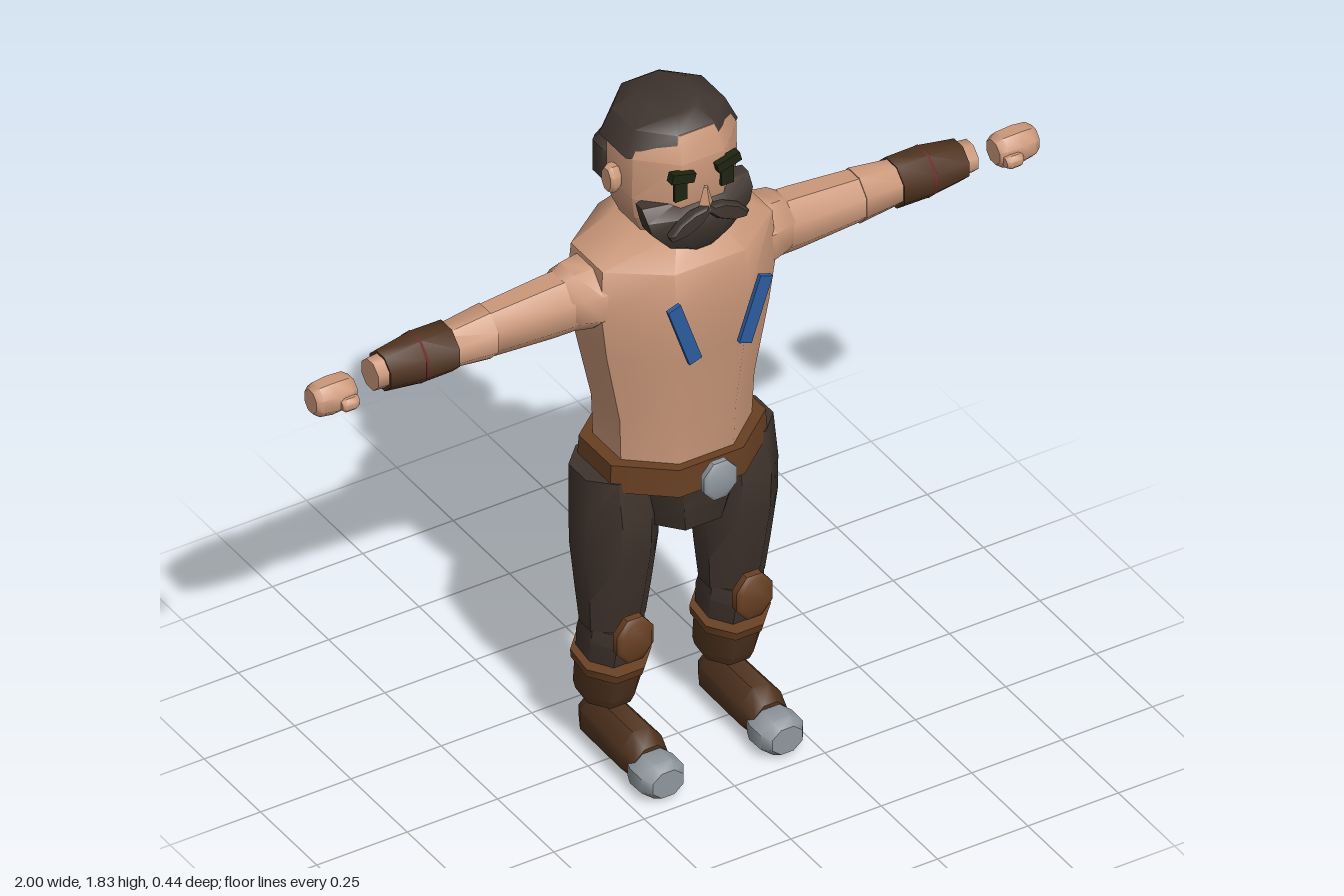
import * as THREE from 'three';
import { toCreasedNormals } from 'three/addons/utils/BufferGeometryUtils.js';

const mat = (name, color) => {
  const m = new THREE.MeshStandardMaterial({ color });
  m.name = name;
  return m;
};

// Octagonal loft along an axis. Rings: [t, centreA, centreB, halfA, halfB];
// (a, b) is (y, z) for axis x, (z, x) for axis y and (x, y) for axis z.
function loft(axis, rings) {
  if (rings[0][0] > rings[rings.length - 1][0]) rings = [...rings].reverse();
  const k = 0.414;
  const oct = [[1, -k], [1, k], [k, 1], [-k, 1], [-1, k], [-1, -k], [-k, -1], [k, -1]];
  const place = (t, a, b) =>
    axis === 'x' ? [t, a, b] : axis === 'y' ? [b, t, a] : [a, b, t];
  const pts = rings.map(([t, ca, cb, ha, hb]) =>
    oct.map(([u, v]) => place(t, ca + u * ha, cb + v * hb)));
  const out = [];
  const tri = (...p) => p.forEach((q) => out.push(...q));
  for (let i = 0; i < rings.length - 1; i++) {
    for (let j = 0; j < 8; j++) {
      const n = (j + 1) % 8;
      tri(pts[i][j], pts[i][n], pts[i + 1][n]);
      tri(pts[i][j], pts[i + 1][n], pts[i + 1][j]);
    }
  }
  const first = pts[0], last = pts[pts.length - 1];
  for (let j = 1; j < 7; j++) {
    tri(first[0], first[j + 1], first[j]);
    tri(last[0], last[j], last[j + 1]);
  }
  const g = new THREE.BufferGeometry();
  g.setAttribute('position', new THREE.Float32BufferAttribute(out, 3));
  return toCreasedNormals(g, 0.8);
}

// Octagonal pad centred on the origin, with bevelled ends along z
function pad(hx, hy, hz, inset = 0.8) {
  return loft('z', [
    [-hz, 0, 0, hx * inset, hy * inset], [-hz * 0.5, 0, 0, hx, hy],
    [hz * 0.5, 0, 0, hx, hy], [hz, 0, 0, hx * inset, hy * inset],
  ]);
}

export function createModel() {
  const skin = mat('skin', 0xcb987a);
  const hair = mat('hair', 0x40352f);
  const cloth = mat('trousers', 0x3f332c);
  const belt = mat('belt leather', 0x673f22);
  const leather = mat('dark leather', 0x50331f);
  const metal = mat('metal', 0x8f979d);
  const blue = mat('blue paint', 0x2c5c9f);
  const red = mat('red cord', 0x6c2628);
  const dark = mat('eye dark', 0x1f2410);

  const root = new THREE.Group();
  root.name = 'figure';
  const add = (name, geo, material, x = 0, y = 0, z = 0, rx = 0, rz = 0) => {
    const m = new THREE.Mesh(geo, material);
    m.name = name;
    m.position.set(x, y, z);
    m.rotation.set(rx, 0, rz);
    root.add(m);
    return m;
  };

  // Trunk
  add('torso', loft('y', [
    [0.85, -0.027, 0, 0.15, 0.18], [1.0, -0.025, 0, 0.155, 0.186],
    [1.2, -0.03, 0, 0.176, 0.225], [1.33, -0.03, 0, 0.185, 0.242],
    [1.45, -0.03, 0, 0.17, 0.235], [1.515, -0.035, 0, 0.115, 0.13],
  ]), skin);
  add('belt', loft('y', [
    [0.81, -0.027, 0, 0.178, 0.218], [0.885, -0.027, 0, 0.174, 0.214],
  ]), belt);
  add('buckle', pad(0.045, 0.052, 0.015), metal, 0, 0.848, 0.18);
  add('pelvis', loft('y', [
    [0.675, -0.028, 0, 0.14, 0.12], [0.74, -0.026, 0, 0.15, 0.145],
    [0.83, -0.025, 0, 0.155, 0.17],
  ]), cloth);

  // Head, hair and beard
  add('head', loft('y', [
    [1.48, -0.03, 0, 0.1, 0.1], [1.56, -0.03, 0, 0.125, 0.135],
    [1.62, -0.03, 0, 0.138, 0.145], [1.735, -0.03, 0, 0.14, 0.144],
    [1.8, -0.03, 0, 0.113, 0.11],
  ]), skin);
  add('hairCap', loft('y', [
    [1.735, -0.045, 0, 0.145, 0.155], [1.8, -0.045, 0, 0.125, 0.125],
    [1.83, -0.048, 0, 0.085, 0.065],
  ]), hair);
  add('backHair', pad(0.14, 0.105, 0.046, 0.85), hair, 0, 1.635, -0.134);
  add('beard', loft('y', [
    [1.475, 0.085, 0, 0.025, 0.04], [1.5, 0.082, 0, 0.043, 0.085],
    [1.555, 0.08, 0, 0.053, 0.135], [1.59, 0.078, 0, 0.05, 0.145],
    [1.62, 0.06, 0, 0.034, 0.147],
  ]), hair);
  const nose = new THREE.CylinderGeometry(0.006, 0.022, 0.06, 4);
  add('nose', toCreasedNormals(nose, 0.5), skin, 0, 1.63, 0.122);

  for (const s of [1, -1]) {
    const side = s > 0 ? 'left' : 'right';
    const part = (name, geo, material, x = 0, y = 0, z = 0, rx = 0, rz = 0) =>
      add(side + name, geo, material, s * x, y, z, rx, s * rz);
    const along = (rings) => loft('x', rings.map(([t, ...r]) => [s * t, ...r]));

    // Face
    part('Eye', new THREE.BoxGeometry(0.034, 0.055, 0.009), dark, 0.064, 1.667, 0.112);
    part('Brow', new THREE.BoxGeometry(0.065, 0.025, 0.022), dark, 0.063, 1.708, 0.116, 0, 0.25);
    part('Moustache', pad(0.06, 0.021, 0.014), hair, 0.052, 1.58, 0.132, 0, -0.45);
    part('Ear', loft('x', [
      [-0.016, 0, 0, 0.03, 0.02], [-0.006, 0, 0, 0.037, 0.026],
      [0.006, 0, 0, 0.037, 0.026], [0.016, 0, 0, 0.03, 0.018],
    ]), skin, 0.159, 1.648, -0.04);

    // Chest mark
    part('ChestMark', new THREE.BoxGeometry(0.036, 0.182, 0.012), blue, 0.098, 1.307, 0.183, 0, -0.33);

    // Arm
    part('Shoulder', along([
      [0.16, 1.35, -0.035, 0.085, 0.09], [0.24, 1.352, -0.035, 0.086, 0.088],
      [0.285, 1.352, -0.037, 0.08, 0.076], [0.312, 1.352, -0.038, 0.064, 0.06],
    ]), skin);
    part('UpperArm', along([
      [0.2, 1.345, -0.037, 0.078, 0.068], [0.34, 1.342, -0.038, 0.074, 0.066],
      [0.51, 1.338, -0.04, 0.063, 0.057],
    ]), skin);
    part('Forearm', along([
      [0.51, 1.338, -0.04, 0.066, 0.06], [0.65, 1.336, -0.04, 0.05, 0.05],
      [0.83, 1.335, -0.037, 0.038, 0.038],
    ]), skin);
    part('Bracer', along([
      [0.615, 1.334, -0.042, 0.06, 0.06], [0.7, 1.334, -0.042, 0.061, 0.06],
      [0.8, 1.333, -0.04, 0.048, 0.048],
    ]), leather);
    const cord = new THREE.TorusGeometry(0.059, 0.008, 6, 8);
    cord.rotateZ(Math.PI / 8).rotateY(Math.PI / 2);
    part('BracerCord', cord, red, 0.702, 1.334, -0.042);
    part('Hand', along([
      [0.888, 1.327, -0.028, 0.03, 0.03], [0.905, 1.327, -0.028, 0.042, 0.04],
      [0.95, 1.326, -0.028, 0.045, 0.043], [0.985, 1.327, -0.028, 0.041, 0.038],
      [1.0, 1.327, -0.028, 0.03, 0.027],
    ]), skin);
    part('Thumb', along([
      [0.895, 1.318, 0.012, 0.012, 0.012], [0.907, 1.318, 0.014, 0.018, 0.017],
      [0.932, 1.318, 0.014, 0.018, 0.017], [0.942, 1.318, 0.012, 0.011, 0.011],
    ]), skin);

    // Leg
    const x = s * 0.165;
    part('Thigh', loft('y', [
      [0.385, -0.028, x, 0.062, 0.076], [0.48, -0.025, x, 0.08, 0.085],
      [0.62, -0.022, x, 0.1, 0.098], [0.72, -0.022, x, 0.106, 0.098],
      [0.835, -0.033, x, 0.095, 0.094],
    ]), cloth);
    part('Shin', loft('y', [
      [-0.065, 0, 0, 0.074, 0.068], [0.02, 0, 0, 0.078, 0.075], [0.06, 0, 0, 0.068, 0.072],
    ]), cloth, 0.165, 0.335, -0.04, 0.2);
    part('KneePad', pad(0.05, 0.061, 0.019), belt, 0.165, 0.378, 0.064);
    part('BootCuff', loft('y', [
      [-0.013, 0, 0, 0.088, 0.086], [0.013, 0, 0, 0.091, 0.09],
    ]), belt, 0.165, 0.277, -0.037, 0.2);
    part('BootShaft', loft('y', [
      [-0.057, 0, 0, 0.068, 0.066], [-0.03, 0, 0, 0.075, 0.074], [0.055, 0, 0, 0.08, 0.079],
    ]), leather, 0.165, 0.217, -0.048, 0.2);
    part('Foot', loft('z', [
      [-0.122, x, 0.07, 0.035, 0.034], [-0.085, x, 0.07, 0.054, 0.065],
      [0.1, x, 0.07, 0.056, 0.066], [0.145, x, 0.065, 0.045, 0.045],
    ]), leather);
    part('ToeCap', loft('z', [
      [0.12, x, 0.05, 0.05, 0.043], [0.145, x, 0.05, 0.059, 0.05],
      [0.195, x, 0.05, 0.058, 0.048], [0.22, x, 0.05, 0.042, 0.035],
    ]), metal);
  }
  return root;
}
